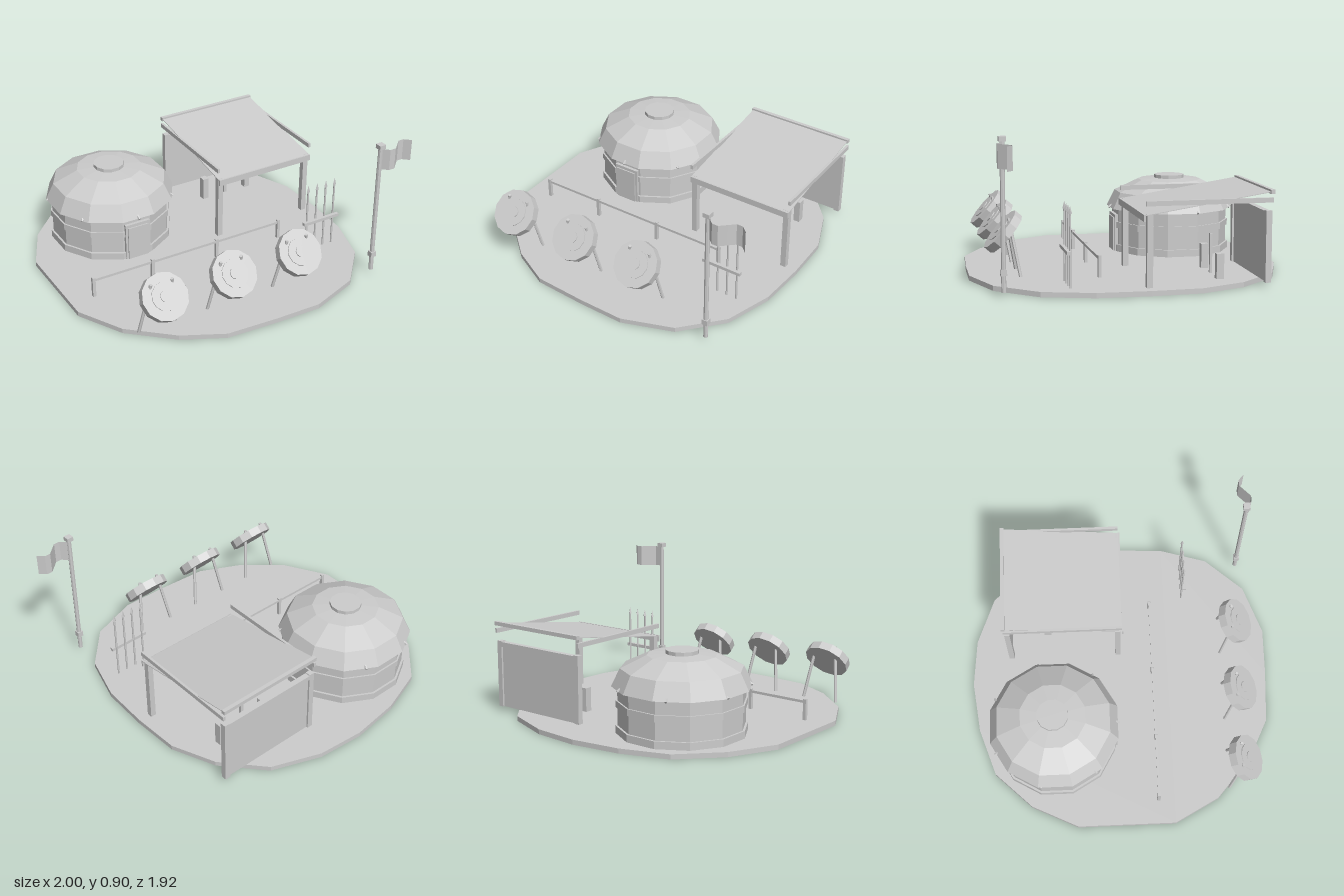
import * as THREE from 'three';

const grey = new THREE.MeshStandardMaterial({ color: 0xcccccc, flatShading: true });
grey.name = 'plain grey';
grey.side = THREE.DoubleSide;

function add(parent, name, geometry, x = 0, y = 0, z = 0) {
  const mesh = new THREE.Mesh(geometry, grey);
  mesh.name = name;
  mesh.position.set(x, y, z);
  parent.add(mesh);
  return mesh;
}

const box = (parent, name, w, h, d, x, y, z) => add(parent, name, new THREE.BoxGeometry(w, h, d), x, y, z);

// Round stick between two points
function stick(parent, name, a, b, r, sides = 6) {
  const from = new THREE.Vector3(...a), to = new THREE.Vector3(...b);
  const dir = to.clone().sub(from);
  const mesh = add(parent, name, new THREE.CylinderGeometry(r, r, dir.length(), sides));
  mesh.position.copy(from).add(to).multiplyScalar(0.5);
  mesh.quaternion.setFromUnitVectors(new THREE.Vector3(0, 1, 0), dir.normalize());
  return mesh;
}

function group(parent, name, x = 0, y = 0, z = 0) {
  const g = new THREE.Group();
  g.name = name;
  g.position.set(x, y, z);
  parent.add(g);
  return g;
}

function buildGround(model) {
  const outline = [
    [-0.03, -0.965], [0.265, -0.94], [0.565, -0.825], [0.78, -0.58], [0.89, -0.305], [0.9, 0],
    [0.885, 0.31], [0.795, 0.61], [0.58, 0.85], [0.27, 0.96], [-0.02, 0.955], [-0.35, 0.935],
    [-0.6, 0.81], [-0.85, 0.59], [-1, 0.31], [-1, -0.305], [-0.86, -0.595], [-0.64, -0.825], [-0.345, -0.925],
  ];
  const shape = new THREE.Shape(outline.map(([x, z]) => new THREE.Vector2(x, -z)));
  const geo = new THREE.ExtrudeGeometry(shape, { depth: 0.03, bevelEnabled: false });
  add(model, 'ground', geo.rotateX(-Math.PI / 2));
}

function buildTent(model) {
  const tent = group(model, 'roundTent', -0.408, 0, -0.432);
  // Twelve-sided surface given by flat-to-centre distances and heights
  const ring = (name, profile) => add(tent, name, new THREE.LatheGeometry(
    profile.map(([r, y]) => new THREE.Vector2(r / Math.cos(Math.PI / 12), y)), 12, Math.PI / 12));
  const band = (name, r, y0, y1) => ring(name, [[r - 0.02, y0], [r, y0], [r, y1], [r - 0.02, y1]]);

  ring('tentWall', [[0.365, 0.03], [0.365, 0.34]]);
  band('tentSkirt', 0.378, 0.03, 0.075);
  band('tentBelt', 0.375, 0.185, 0.225);
  ring('tentRoof', [[0.36, 0.315], [0.4, 0.31], [0.35, 0.415], [0.2, 0.49], [0, 0.505]]);
  ring('crown', [[0.095, 0.49], [0.095, 0.52], [0, 0.52]]);

  // Door on the front face
  box(tent, 'doorFrame', 0.17, 0.24, 0.03, 0, 0.15, 0.37);
  box(tent, 'door', 0.14, 0.22, 0.008, 0, 0.14, 0.389);

  // Pegs around the eave
  for (let i = 0; i < 7; i++) {
    const a = (i * Math.PI * 2) / 7, s = Math.sin(a), c = Math.cos(a);
    stick(tent, 'eavePeg', [s * 0.375, 0.335, c * 0.375], [s * 0.41, 0.31, c * 0.41], 0.008, 5);
  }
}

function buildShelter(model) {
  const shelter = group(model, 'shelter');
  for (const x of [0.16, 0.81]) {
    for (const z of [-0.01, -0.71]) box(shelter, 'shelterPost', 0.035, 0.42, 0.035, x, 0.24, z);
  }
  for (const x of [0.142, 0.832]) box(shelter, 'sideRail', 0.016, 0.028, 0.745, x, 0.513, -0.358);
  box(shelter, 'backRail', 0.7, 0.024, 0.024, 0.487, 0.56, -0.727);
  box(shelter, 'frontValance', 0.69, 0.04, 0.01, 0.487, 0.43, 0.022);
  box(shelter, 'backWall', 0.65, 0.39, 0.012, 0.485, 0.225, -0.71);
  box(shelter, 'wallTopBeam', 0.685, 0.03, 0.035, 0.485, 0.43, -0.71);

  // Sloping cloth roof, high at the back
  const rise = 0.115, run = 0.745;
  const roof = box(shelter, 'clothRoof', 0.69, 0.004, Math.hypot(rise, run), 0.487, 0.503, -0.355);
  roof.rotation.x = Math.atan2(rise, run);

  // Short posts under the roof
  for (const x of [0.32, 0.65]) box(shelter, 'shortPost', 0.04, 0.15, 0.045, x, 0.105, -0.47);
  box(shelter, 'thinPost', 0.02, 0.24, 0.015, 0.48, 0.15, -0.465);
}

function buildTarget(model, x) {
  const target = group(model, 'target', x);
  const disc = group(target, 'targetDisc', 0, 0.284, 0.753);
  disc.rotation.x = 0.85;
  add(disc, 'disc', new THREE.CylinderGeometry(0.143, 0.143, 0.053, 12));
  add(disc, 'middleRing', new THREE.CylinderGeometry(0.085, 0.085, 0.008, 12), 0, 0.028, 0);
  add(disc, 'bullseye', new THREE.CylinderGeometry(0.035, 0.035, 0.008, 10), 0, 0.034, 0);
  // Legs run from the ground through the disc
  for (const s of [-1, 1]) stick(target, 'targetLeg', [s * 0.12, 0.03, 0.665], [s * 0.068, 0.375, 0.727], 0.01);
}

function buildFence(model) {
  const fence = group(model, 'fence', 0, 0, 0.21);
  for (const x of [-0.845, -0.445, 0.01, 0.47]) box(fence, 'fencePost', 0.02, 0.13, 0.02, x, 0.095, 0);
  box(fence, 'fenceRail', 1.33, 0.016, 0.014, -0.187, 0.143, 0);
}

function buildSpears(model) {
  const rack = group(model, 'spearRack', 0, 0, 0.43);
  box(rack, 'rackBar', 0.26, 0.02, 0.022, 0.635, 0.235, 0.012);
  for (let i = 0; i < 4; i++) {
    const x = 0.537 + i * 0.066;
    add(rack, 'spearShaft', new THREE.CylinderGeometry(0.006, 0.006, 0.43, 6), x, 0.245, 0);
    add(rack, 'spearTip', new THREE.ConeGeometry(0.012, 0.045, 4), x, 0.478, 0);
  }
}

function buildFlag(model) {
  const flag = group(model, 'flagpole', 0.765, 0, 0.81);
  add(flag, 'pole', new THREE.CylinderGeometry(0.014, 0.014, 0.86, 8), 0, 0.46, 0);
  box(flag, 'poleCollar', 0.036, 0.035, 0.036, 0, 0.143, 0);
  box(flag, 'poleCap', 0.042, 0.027, 0.042, 0, 0.888, 0);
  // Waving cloth
  const cloth = new THREE.PlaneGeometry(0.225, 0.135, 6, 1).translate(0.122, 0.8, 0);
  const p = cloth.attributes.position;
  for (let i = 0; i < p.count; i++) p.setZ(i, 0.04 * Math.sin((p.getX(i) - 0.01) * 28));
  add(flag, 'flagCloth', cloth);
}

export function createModel() {
  const model = new THREE.Group();
  model.name = 'trainingCamp';
  buildGround(model);
  buildTent(model);
  buildShelter(model);
  for (const x of [-0.663, -0.206, 0.251]) buildTarget(model, x);
  buildFence(model);
  buildSpears(model);
  buildFlag(model);
  return model;
}
